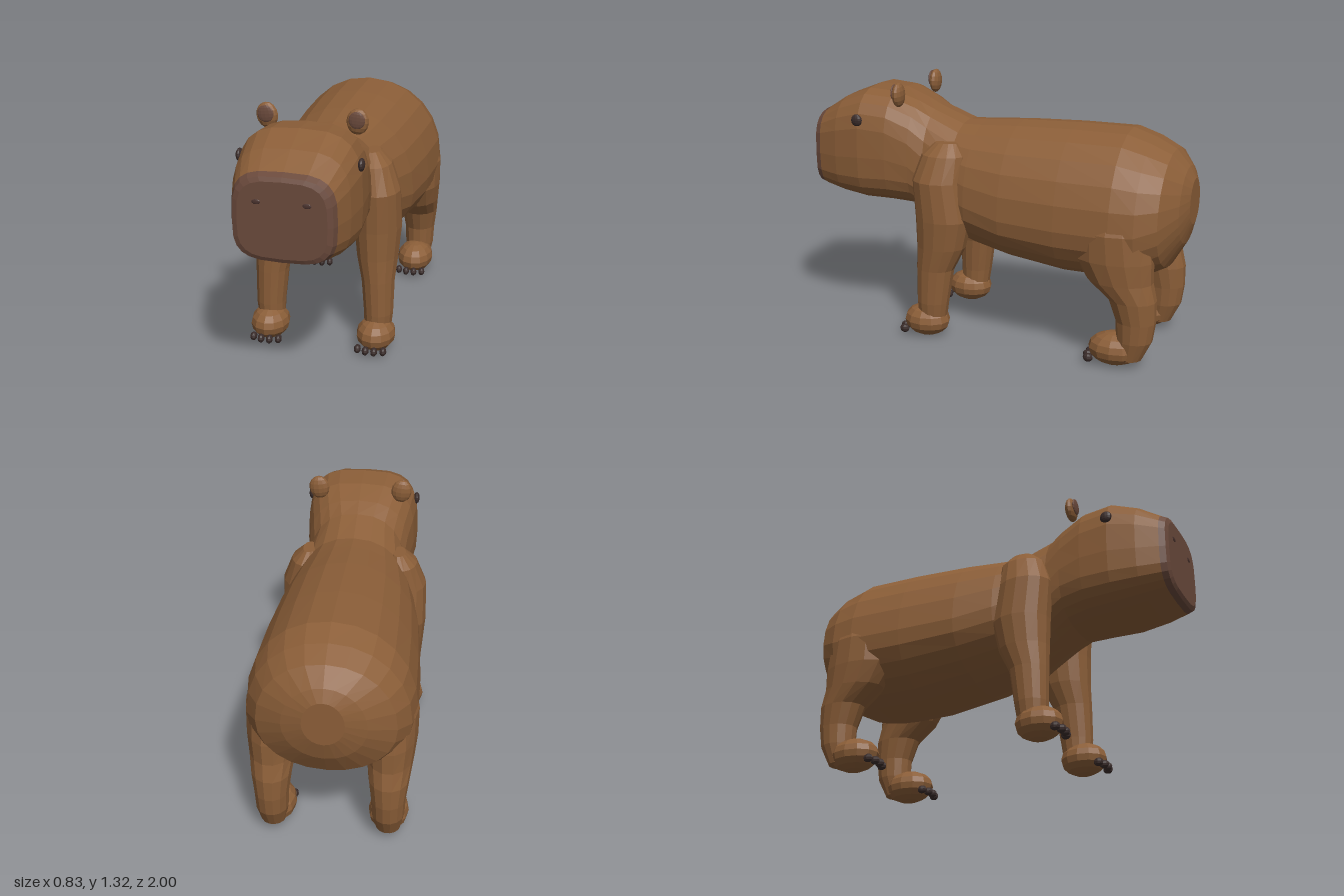
import * as THREE from 'three';

const material = (name, color) => {
  const m = new THREE.MeshStandardMaterial({ color });
  m.name = name;
  return m;
};

// Unshared corners give every face its own flat normal
function facet(geometry) {
  const g = geometry.index ? geometry.toNonIndexed() : geometry;
  g.computeVertexNormals();
  return g;
}

// Skin a list of rings, closing the chosen ends with a fan
function loft(rings, capStart = true, capEnd = true) {
  const n = rings[0].length, pos = [];
  const tri = (...pts) => pts.forEach(p => pos.push(p.x, p.y, p.z));
  for (let i = 0; i < rings.length - 1; i++) {
    for (let j = 0; j < n; j++) {
      const k = (j + 1) % n;
      const a = rings[i][j], b = rings[i][k], c = rings[i + 1][k], d = rings[i + 1][j];
      tri(a, b, c);
      tri(a, c, d);
    }
  }
  const cap = (ring, flip) => {
    const mid = ring.reduce((s, p) => s.add(p), new THREE.Vector3()).divideScalar(n);
    ring.forEach((p, j) => {
      const q = ring[(j + 1) % n];
      if (flip) tri(mid, q, p); else tri(mid, p, q);
    });
  };
  if (capStart) cap(rings[0], true);
  if (capEnd) cap(rings[rings.length - 1], false);
  const g = new THREE.BufferGeometry();
  g.setAttribute('position', new THREE.Float32BufferAttribute(pos, 3));
  return facet(g);
}

const power = (v, n) => Math.sign(v) * Math.pow(Math.abs(v), 2 / n);

// Upright section of the trunk: z, bottom, widest height, top, half width, squareness
function trunkRing([z, bottom, mid, top, half, n]) {
  return Array.from({ length: 24 }, (_, j) => {
    const a = (j / 24) * Math.PI * 2, s = power(Math.sin(a), n);
    return new THREE.Vector3(half * power(Math.cos(a), n), mid + s * (s > 0 ? top - mid : mid - bottom), z);
  });
}

// Level section of a leg: y, centre x, centre z, radius x, radius z
function legRing([y, cx, cz, rx, rz], side) {
  return Array.from({ length: 14 }, (_, j) => {
    const a = (j / 14) * Math.PI * 2;
    return new THREE.Vector3(side * cx + rx * Math.cos(a), y, cz - rz * Math.sin(a));
  });
}

const TRUNK = [
  [-1.0, 0.69, 0.8, 0.92, 0.10, 2],
  [-0.97, 0.59, 0.77, 0.98, 0.20, 2],
  [-0.90, 0.47, 0.73, 1.06, 0.33, 2.1],
  [-0.80, 0.42, 0.70, 1.11, 0.39, 2.1],
  [-0.68, 0.40, 0.69, 1.15, 0.41, 2.1],
  [-0.40, 0.40, 0.69, 1.15, 0.40, 2.1],
  [-0.10, 0.44, 0.70, 1.14, 0.375, 2.1],
  [0.10, 0.48, 0.74, 1.125, 0.335, 2.1],
  [0.20, 0.51, 0.77, 1.12, 0.30, 2.2],
  [0.36, 0.61, 0.84, 1.18, 0.26, 2.4],
  [0.44, 0.66, 0.90, 1.22, 0.27, 2.7],
  [0.56, 0.675, 0.93, 1.265, 0.29, 3.1],
  [0.71, 0.68, 0.93, 1.275, 0.30, 3.3],
  [0.85, 0.70, 0.92, 1.22, 0.28, 3.4],
  [0.96, 0.722, 0.92, 1.15, 0.247, 3.5],
];
const MUZZLE = [
  TRUNK[TRUNK.length - 1],
  [0.99, 0.73, 0.92, 1.135, 0.235, 3.5],
  [1.0, 0.75, 0.92, 1.115, 0.21, 3.5],
];
const FRONT_LEG = [
  [0.06, 0.28, 0.30, 0.065, 0.07],
  [0.20, 0.285, 0.293, 0.075, 0.085],
  [0.38, 0.278, 0.28, 0.085, 0.10],
  [0.50, 0.268, 0.25, 0.105, 0.13],
  [0.65, 0.265, 0.235, 0.12, 0.15],
  [0.85, 0.265, 0.26, 0.115, 0.14],
  [0.98, 0.25, 0.24, 0.08, 0.115],
  [1.04, 0.235, 0.23, 0.035, 0.06],
];
const HIND_LEG = [
  [0.05, 0.285, -0.775, 0.06, 0.06],
  [0.15, 0.285, -0.795, 0.08, 0.09],
  [0.25, 0.285, -0.80, 0.085, 0.10],
  [0.36, 0.285, -0.78, 0.10, 0.12],
  [0.45, 0.285, -0.715, 0.115, 0.165],
  [0.56, 0.285, -0.68, 0.128, 0.20],
  [0.70, 0.28, -0.67, 0.135, 0.19],
  [0.85, 0.26, -0.68, 0.10, 0.13],
];

export function createModel() {
  const fur = material('brown fur', 0x8b5e38);
  const skin = material('muzzle skin', 0x6b4a3c);
  const dark = material('dark eye and claw', 0x3a2c2a);
  const nostrilMat = material('nostril', 0x4a332e);

  const model = new THREE.Group();
  model.name = 'rodent';
  const add = (name, geometry, mat, parent = model) => {
    const mesh = new THREE.Mesh(geometry, mat);
    mesh.name = name;
    parent.add(mesh);
    return mesh;
  };
  const ball = (name, mat, at, radii, parent, w = 12, h = 8) => {
    const g = new THREE.SphereGeometry(1, w, h).scale(...radii).translate(...at);
    return add(name, facet(g), mat, parent);
  };

  // Body and head in one skin, with the bare muzzle closing the front
  add('bodyAndHead', loft(TRUNK.map(trunkRing), true, false), fur);
  add('muzzle', loft(MUZZLE.map(trunkRing), false, true), skin);

  for (const side of [1, -1]) {
    const label = side > 0 ? 'left' : 'right';

    // Face details
    ball(label + 'Eye', dark, [side * 0.29, 1.125, 0.71], [0.016, 0.031, 0.031]);
    ball(label + 'Nostril', nostrilMat, [side * 0.117, 1.015, 1.0], [0.021, 0.012, 0.004], model, 8, 6);

    // Ear with a bare inner face
    const ear = new THREE.Group();
    ear.name = label + 'Ear';
    ear.position.set(side * 0.22, 1.26, 0.5);
    ear.rotation.z = -side * 0.1;
    model.add(ear);
    ball('earShell', fur, [0, 0, 0], [0.054, 0.063, 0.028], ear);
    ball('earInner', skin, [0, 0.012, 0.024], [0.04, 0.042, 0.009], ear);

    // Legs, feet and four claws on each foot
    const legs = [['Front', FRONT_LEG, 0.33, 0.122], ['Hind', HIND_LEG, -0.695, 0.135]];
    for (const [end, rings, footZ, footLength] of legs) {
      const leg = new THREE.Group();
      leg.name = label + end + 'Leg';
      model.add(leg);
      add('leg', loft(rings.map(r => legRing(r, side))), fur, leg);
      ball('foot', fur, [side * 0.281, 0.092, footZ], [0.1, 0.085, footLength], leg);
      for (let i = 0; i < 4; i++) {
        const x = side * (0.209 + i * 0.044);
        ball('claw', dark, [x, 0.043, footZ + footLength - 0.008 + (i % 3 ? 0.006 : -0.008)],
          [0.018, 0.022, 0.026], leg, 8, 6);
      }
    }
  }
  return model;
}
